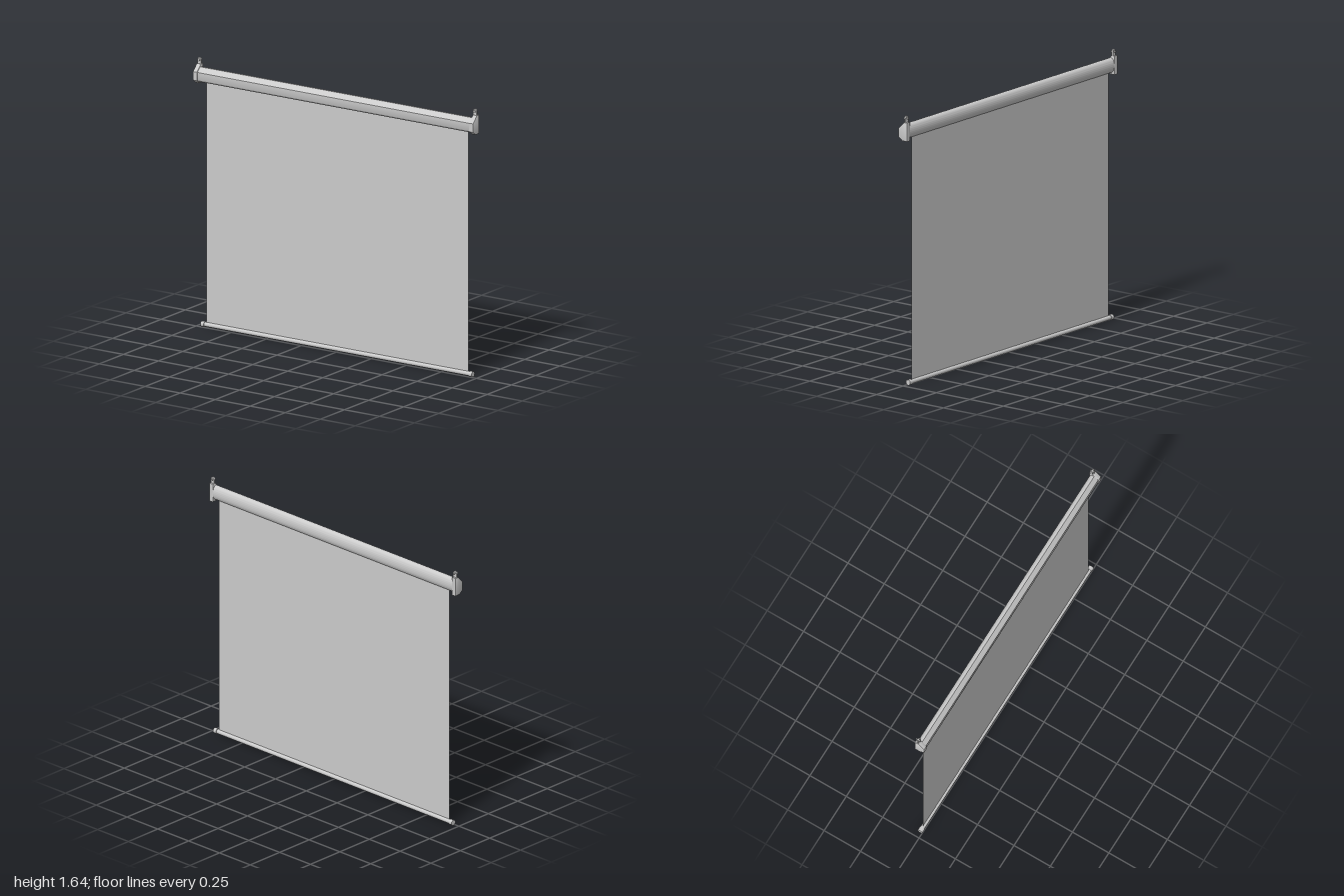
import * as THREE from 'three';
import { toCreasedNormals } from 'three/addons/utils/BufferGeometryUtils.js';

const FABRIC_Z = -0.013;

export function createModel() {
  const group = new THREE.Group();
  const grey = new THREE.MeshStandardMaterial({ color: 0xcccccc });
  const thin = new THREE.MeshStandardMaterial({ color: 0xcccccc, side: THREE.DoubleSide });

  const add = (name, geometry, x = 0, y = 0, z = 0, parent = group, material = grey) => {
    const mesh = new THREE.Mesh(geometry, material);
    mesh.name = name;
    mesh.position.set(x, y, z);
    parent.add(mesh);
    return mesh;
  };

  // Extrudes a (z, y) side profile along x, centred on x = 0
  const alongX = (shape, length, bevel = 0) => {
    const g = new THREE.ExtrudeGeometry(shape, {
      depth: length - 2 * bevel, curveSegments: 24, bevelEnabled: bevel > 0,
      bevelSize: bevel, bevelOffset: -bevel, bevelThickness: bevel, bevelSegments: 2,
    });
    g.translate(0, 0, -(length - 2 * bevel) / 2).rotateY(-Math.PI / 2);
    return toCreasedNormals(g, 0.5);
  };
  const rodX = (r, length) => new THREE.CylinderGeometry(r, r, length, 24).rotateZ(Math.PI / 2);

  // Housing: rounded back, sloped top and flat front
  const housing = new THREE.Shape();
  housing.moveTo(0.006, 1.496);
  housing.quadraticCurveTo(0.026, 1.498, 0.03, 1.513);
  housing.lineTo(0.03, 1.557);
  housing.lineTo(0.004, 1.586);
  housing.bezierCurveTo(-0.014, 1.59, -0.028, 1.572, -0.028, 1.541);
  housing.bezierCurveTo(-0.028, 1.512, -0.016, 1.494, 0.006, 1.496);
  add('housing', alongX(housing, 1.95));

  // Fabric sheet
  add('screenFabric', new THREE.PlaneGeometry(1.87, 1.49), 0, 0.765, FABRIC_Z, group, thin);

  // Weighted bottom rod
  add('bottomRod', rodX(0.0135, 1.9), 0, 0.0165, FABRIC_Z);

  // End cap profile
  const cap = new THREE.Shape([
    [-0.029, 1.486], [0.006, 1.486], [0.034, 1.507],
    [0.034, 1.559], [0.004, 1.59], [-0.006, 1.6], [-0.029, 1.6],
  ].map(([z, y]) => new THREE.Vector2(z, y)));
  const capGeometry = alongX(cap, 0.03, 0.003);

  // Hanging tab with a rounded top and a screw hole
  const tab = new THREE.Shape();
  tab.moveTo(-0.013, 0);
  tab.lineTo(0.013, 0);
  tab.lineTo(0.013, 0.03);
  tab.absarc(0, 0.03, 0.013, 0, Math.PI, false);
  tab.closePath();
  const hole = new THREE.Path();
  hole.absarc(0, 0.028, 0.005, 0, Math.PI * 2, true);
  tab.holes.push(hole);
  const tabGeometry = toCreasedNormals(
    new THREE.ExtrudeGeometry(tab, { depth: 0.009, bevelEnabled: false, curveSegments: 16 }), 0.5);

  const screwGeometry = new THREE.CylinderGeometry(0.005, 0.005, 0.026, 16).rotateX(Math.PI / 2);
  const headGeometry = new THREE.CylinderGeometry(0.008, 0.008, 0.004, 16).rotateX(Math.PI / 2);

  // Matching fittings at both ends
  for (const side of [1, -1]) {
    const end = new THREE.Group();
    end.name = side > 0 ? 'leftEnd' : 'rightEnd';
    group.add(end);
    add('endCap', capGeometry, side * 0.985, 0, 0, end);
    add('hangingTab', tabGeometry, side * 0.983, 1.596, FABRIC_Z - 0.0045, end);
    add('screw', screwGeometry, side * 0.983, 1.624, -0.016, end);
    add('screwHead', headGeometry, side * 0.983, 1.624, -0.002, end);
    add('rodEndCap', rodX(0.0165, 0.024), side * 0.956, 0.0165, FABRIC_Z, end);
  }
  return group;
}
